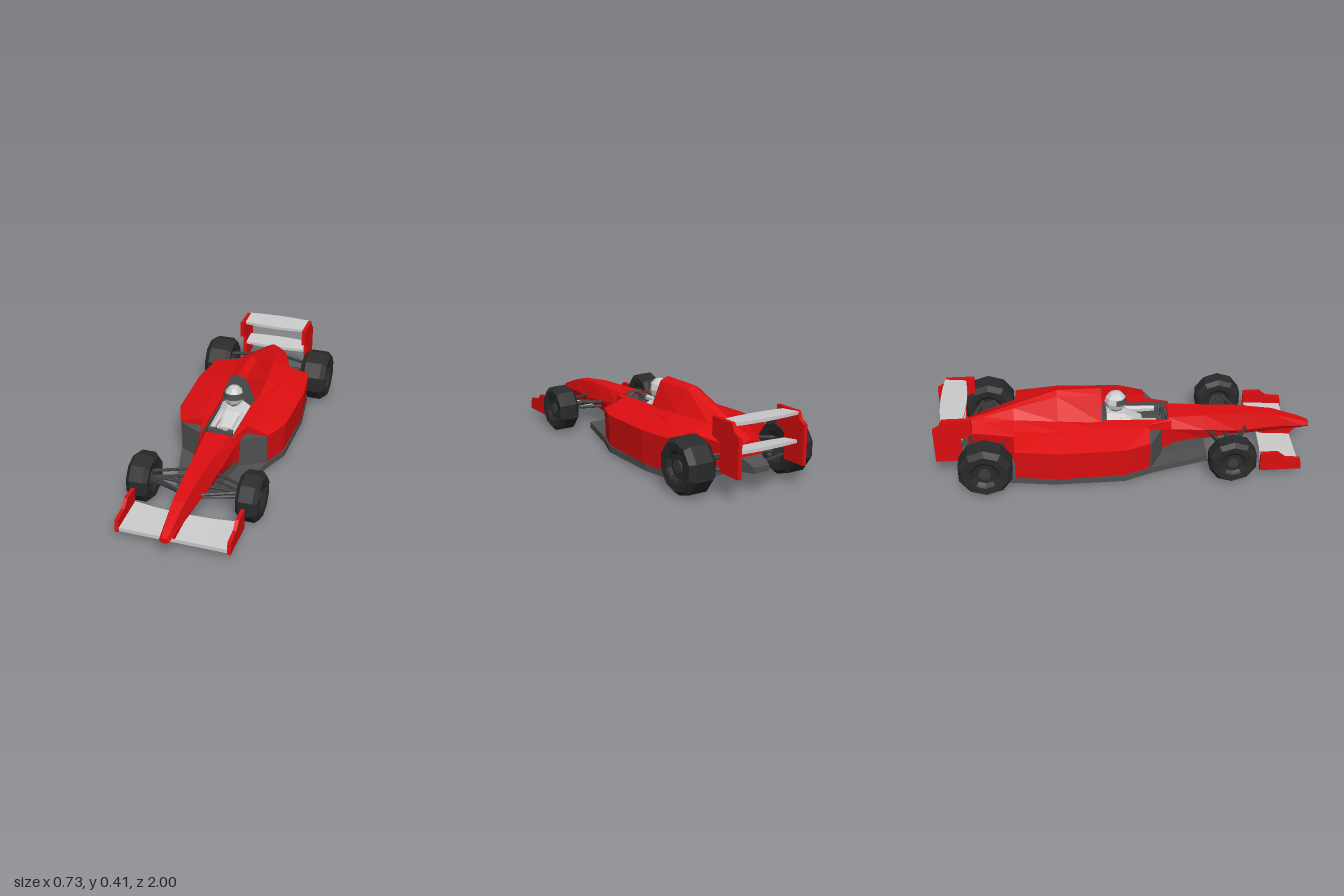
import * as THREE from 'three';

const mat = (color) => new THREE.MeshStandardMaterial({ color, flatShading: true, side: THREE.DoubleSide });
const RED = mat(0xdd0e10), GREY = mat(0xcccccc), DARK = mat(0x505050), TYRE = mat(0x2a2a2a), ROD = mat(0x3c3c3c);

function add(parent, name, geometry, material) {
  const mesh = new THREE.Mesh(geometry, material);
  mesh.name = name;
  parent.add(mesh);
  return mesh;
}

// Half outline, listed bottom to top, completed by its mirror image
const sym = (half) => [...half, ...half.filter((p) => p[0] > 0).reverse().map(([x, y]) => [-x, y])];

// Skin over counter-clockwise outlines [z, points], listed from high z to low z, with capped ends
function loft(sections) {
  const pos = [];
  const rings = sections.map(([z, pts]) => pts.map(([x, y]) => [x, y, z]));
  const tri = (...corners) => corners.forEach((p) => pos.push(...p));
  const n = rings[0].length;
  const centre = (r) => [0, 1, 2].map((k) => r.reduce((s, p) => s + p[k], 0) / n);
  const first = rings[0], last = rings[rings.length - 1];
  const c0 = centre(first), c1 = centre(last);
  for (let j = 0; j < n; j++) {
    const k = (j + 1) % n;
    for (let i = 0; i + 1 < rings.length; i++) {
      const a = rings[i], b = rings[i + 1];
      tri(a[j], b[j], a[k]);
      tri(a[k], b[j], b[k]);
    }
    tri(c0, first[j], first[k]);
    tri(c1, last[k], last[j]);
  }
  const g = new THREE.BufferGeometry();
  g.setAttribute('position', new THREE.Float32BufferAttribute(pos, 3));
  g.computeVertexNormals();
  return g;
}

const shape = (pts) => new THREE.Shape(pts.map(([a, b]) => new THREE.Vector2(a, b)));
const extrude = (pts, depth) => new THREE.ExtrudeGeometry(shape(pts), { depth, bevelEnabled: false });
// Upright plate from a side outline (z, y), reaching from x1 inward by width
const sidePlate = (pts, x1, width) => extrude(pts, width).rotateY(-Math.PI / 2).translate(x1, 0, 0);
// Flat slab from a plan outline (x, z)
const slab = (pts, top, depth) => extrude(pts, depth).rotateX(Math.PI / 2).translate(0, top, 0);

// Wing across the car: bow(t) shifts outline points from centre (t = 0) to tip (t = 1)
function wing(span, outline) {
  return loft([1, 0.55, 0, -0.55, -1].map((t) => [t * span, outline(t * t)])).rotateY(-Math.PI / 2);
}

function rod(parent, name, from, to, r = 0.009) {
  const a = new THREE.Vector3(...from), b = new THREE.Vector3(...to);
  const mesh = add(parent, name, new THREE.CylinderGeometry(r, r, a.distanceTo(b), 6), ROD);
  mesh.position.copy(a).add(b).multiplyScalar(0.5);
  mesh.quaternion.setFromUnitVectors(new THREE.Vector3(0, 1, 0), b.sub(a).normalize());
}

// Ten-sided tyre with chamfered shoulders and a recessed hub
function wheel(parent, name, x, z, r, half) {
  const side = [[0, 0.7], [0.42, 0.7], [0.52, 0.88], [0.58, 0.95], [0.84, 1], [1, 0.62]];
  const prof = [...side.map(([a, b]) => [a, -b]), ...side.slice().reverse()];
  const g = new THREE.LatheGeometry(prof.map(([a, b]) => new THREE.Vector2(a * r, b * half)), 10);
  g.rotateZ(-Math.PI / 2).rotateX(Math.PI / 10);
  const tyre = add(parent, name, g, TYRE);
  tyre.position.set(x, r * 0.98, z);
  const hub = add(tyre, name + 'Hub', new THREE.CylinderGeometry(r * 0.22, r * 0.3, half * 1.6, 10).rotateZ(-Math.PI / 2), ROD);
  hub.position.x = 0;
}

function buildSide(g) {
  // Sidepod: [z, outer x, shoulder height, inner top height]
  const pod = [[0.115, 0.245, 0.212, 0.25], [-0.02, 0.298, 0.214, 0.255], [-0.36, 0.31, 0.218, 0.262], [-0.59, 0.28, 0.22, 0.25]];
  add(g, 'sidepod', loft(pod.map(([z, xo, ys, yi]) =>
    [z, [[0.086, 0.045], [xo - 0.01, 0.045], [xo, ys], [0.15, yi - 0.005], [0.086, yi]]])), RED);
  add(g, 'cockpitRim', loft([
    [0.24, [[0.08, 0.08], [0.092, 0.08], [0.1, 0.19], [0.09, 0.238], [0.08, 0.243]]],
    [0.1, [[0.086, 0.06], [0.125, 0.06], [0.13, 0.21], [0.128, 0.243], [0.086, 0.25]]],
  ]), RED);
  add(g, 'cockpitLiner', new THREE.BoxGeometry(0.005, 0.16, 0.35).translate(0.082, 0.162, 0.05), DARK);
  add(g, 'intake', slab([[0.1, 0.11], [0.237, 0.11], [0.237, 0.12], [0.105, 0.19]], 0.204, 0.165), DARK);

  // Wheels and suspension arms
  wheel(g, 'frontWheel', 0.284, 0.54, 0.128, 0.057);
  wheel(g, 'rearWheel', 0.292, -0.74, 0.143, 0.075);
  for (const [y, z0, z1] of [[0.15, 0.65, 0.56], [0.15, 0.43, 0.52], [0.13, 0.535, 0.535], [0.12, 0.62, 0.55], [0.12, 0.45, 0.53]])
    rod(g, 'frontArm', [0.04, y, z0], [0.25, y, z1]);
  for (const [y, z0, z1] of [[0.18, -0.83, -0.77], [0.18, -0.6, -0.72], [0.15, -0.75, -0.75], [0.11, -0.83, -0.78], [0.11, -0.62, -0.72]])
    rod(g, 'rearArm', [0.06, y, z0], [0.25, y, z1]);

  // End plates
  add(g, 'frontEndPlate', sidePlate([[0.91, 0.04], [0.9, 0.105], [0.82, 0.115], [0.78, 0.15], [0.69, 0.15], [0.69, 0.04]], 0.292, 0.018), RED);
  add(g, 'rearEndPlate', sidePlate([[-0.8, 0.285], [-0.8, 0.376], [-0.95, 0.376], [-0.965, 0.34], [-1, 0.32],
    [-1, 0.12], [-0.86, 0.12], [-0.86, 0.26]], 0.2, 0.02), RED);
}

function buildDriver(parent) {
  const g = new THREE.Group();
  g.name = 'driver';
  parent.add(g);
  add(g, 'torso', loft([
    [0.09, sym([[0.05, 0.15], [0.05, 0.19], [0.025, 0.2]])],
    [0, sym([[0.06, 0.15], [0.075, 0.225], [0.03, 0.25]])],
    [-0.1, sym([[0.06, 0.15], [0.08, 0.24], [0.035, 0.268]])],
  ]), GREY);
  for (const s of [1, -1]) {
    const arm = new THREE.CylinderGeometry(0.015, 0.022, 0.2, 6).rotateX(Math.PI / 2);
    add(g, 'arm', arm, GREY).position.set(s * 0.058, 0.22, 0.07);
    add(g, 'glove', new THREE.BoxGeometry(0.03, 0.03, 0.03), DARK).position.set(s * 0.05, 0.222, 0.175);
  }
  const helmet = add(g, 'helmet', new THREE.SphereGeometry(1, 8, 6), GREY);
  helmet.scale.set(0.053, 0.06, 0.06);
  helmet.position.set(0, 0.32, -0.05);
  const visor = new THREE.CylinderGeometry(0.054, 0.06, 0.032, 6, 1, true, -Math.PI / 2, Math.PI);
  add(g, 'visor', visor, DARK).position.set(0, 0.335, -0.05);
  add(g, 'steeringWheel', new THREE.TorusGeometry(0.035, 0.007, 5, 10), ROD).position.set(0, 0.215, 0.195);
}

export function createModel() {
  const car = new THREE.Group();
  car.name = 'racingCar';

  // Nose: [z, top half-width, top y, widest half-width, its y, bottom half-width, bottom y]
  const nose = [[1, 0.012, 0.135, 0.026, 0.122, 0.012, 0.107], [0.96, 0.02, 0.152, 0.032, 0.124, 0.016, 0.104],
    [0.8, 0.03, 0.207, 0.046, 0.138, 0.028, 0.1], [0.6, 0.042, 0.23, 0.066, 0.135, 0.04, 0.096],
    [0.42, 0.05, 0.236, 0.08, 0.16, 0.06, 0.09], [0.225, 0.065, 0.243, 0.1, 0.19, 0.09, 0.075]];
  add(car, 'nose', loft(nose.map(([z, a, ya, b, yb, c, yc]) => [z, sym([[c, yc], [b, yb], [a, ya]])])), RED);
  add(car, 'noseBulkhead', new THREE.BoxGeometry(0.165, 0.15, 0.006).translate(0, 0.15, 0.221), DARK);
  add(car, 'windscreen', new THREE.BoxGeometry(0.09, 0.02, 0.006).translate(0, 0.246, 0.21), DARK);

  // Floor, under-tray and cockpit base
  const half = [[0.265, -0.64], [0.3, -0.38], [0.295, -0.02], [0.24, 0.12], [0.155, 0.43]];
  add(car, 'floor', slab(sym(half), 0.045, 0.034), DARK);
  add(car, 'underTray', loft([[0.42, sym([[0.07, 0.04], [0.06, 0.1]])], [0.1, sym([[0.12, 0.04], [0.11, 0.1]])]]), DARK);
  add(car, 'cockpitBase', new THREE.BoxGeometry(0.17, 0.11, 0.36).translate(0, 0.1, 0.05), DARK);

  // Engine cover behind the driver, with intake face
  add(car, 'engineCover', loft([
    [-0.13, sym([[0.14, 0.05], [0.15, 0.25], [0.1, 0.252], [0.045, 0.386], [0, 0.405]])],
    [-0.36, sym([[0.16, 0.05], [0.17, 0.255], [0.1, 0.272], [0.035, 0.386], [0, 0.405]])],
    [-0.59, sym([[0.15, 0.06], [0.17, 0.235], [0.07, 0.27], [0.025, 0.315], [0, 0.326]])],
    [-0.75, sym([[0.09, 0.1], [0.108, 0.215], [0.05, 0.245], [0.015, 0.262], [0, 0.268]])],
    [-0.84, sym([[0.06, 0.12], [0.075, 0.2], [0.04, 0.225], [0.012, 0.24], [0, 0.243]])],
  ]), RED);
  add(car, 'airIntake', extrude(sym([[0.098, 0.22], [0.099, 0.252], [0.045, 0.385], [0, 0.404]]), 0.006).translate(0, 0, -0.132), DARK);
  add(car, 'gearbox', loft([
    [-0.55, sym([[0.13, 0.045], [0.13, 0.16]])],
    [-0.84, sym([[0.06, 0.09], [0.06, 0.16]])],
    [-0.92, sym([[0.045, 0.1], [0.045, 0.13]])],
  ]), DARK);

  // Front and rear wings
  add(car, 'frontWing', wing(0.276, (t) => [[0.718 - 0.025 * t, 0.06], [0.9, 0.04], [0.9, 0.06], [0.718 - 0.025 * t, 0.075]]), GREY);
  add(car, 'frontWingPylon', sidePlate([[0.73, 0.06], [0.89, 0.05], [0.94, 0.11], [0.74, 0.12]], 0.013, 0.026), RED);
  add(car, 'rearWing', wing(0.183, (t) => [[-0.966 + 0.012 * t, 0.36], [-0.83 - 0.014 * t, 0.35],
    [-0.83 - 0.014 * t, 0.366], [-0.966 + 0.012 * t, 0.376]]), GREY);
  add(car, 'lowerRearWing', wing(0.183, (t) => [[-0.965 + 0.012 * t, 0.222], [-0.85 - 0.012 * t, 0.21],
    [-0.85 - 0.012 * t, 0.226], [-0.965 + 0.012 * t, 0.238]]), GREY);

  buildDriver(car);

  // Paired parts, mirrored
  for (const s of [1, -1]) {
    const side = new THREE.Group();
    side.name = s > 0 ? 'leftSide' : 'rightSide';
    buildSide(side);
    side.scale.x = s;
    car.add(side);
  }
  return car;
}
